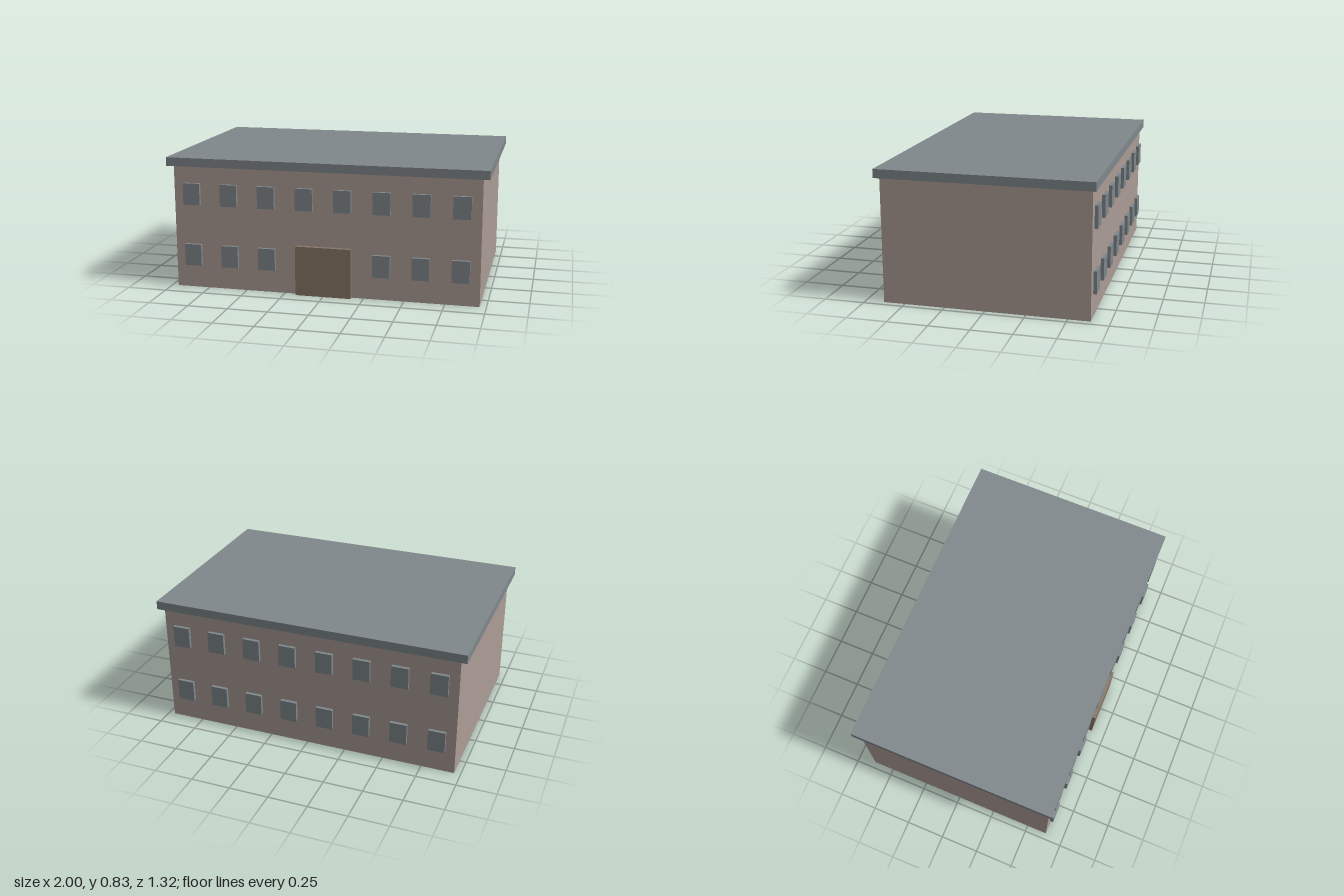
import * as THREE from 'three';

const wallMaterial = new THREE.MeshStandardMaterial({ name: 'taupe wall', color: 0xac9c95 });
const slateMaterial = new THREE.MeshStandardMaterial({ name: 'slate grey', color: 0x80888c });
const doorMaterial = new THREE.MeshStandardMaterial({ name: 'brown door', color: 0x887666 });

// Box given by its lower and upper limits on each axis
function box(name, material, [x0, x1], [y0, y1], [z0, z1]) {
  const mesh = new THREE.Mesh(new THREE.BoxGeometry(x1 - x0, y1 - y0, z1 - z0), material);
  mesh.position.set((x0 + x1) / 2, (y0 + y1) / 2, (z0 + z1) / 2);
  mesh.name = name;
  return mesh;
}

export function createModel() {
  const building = new THREE.Group();
  building.name = 'building';
  const front = 0.632, back = -0.636;

  // Main block, overhanging flat roof and entrance door
  building.add(box('walls', wallMaterial, [-0.96, 0.96], [0, 0.78], [back, front]));
  building.add(box('roof', slateMaterial, [-1, 1], [0.78, 0.834], [-0.66, 0.656]));
  building.add(box('door', doorMaterial, [-0.175, 0.175], [0, 0.312], [front, 0.66]));

  // Two rows of eight windows on the front and the back
  const columns = 8, spacing = 0.241, halfWidth = 0.054, depth = 0.021;
  const sides = [['frontWindow', front, front + depth], ['backWindow', back - depth, back]];
  for (const [name, z0, z1] of sides) {
    for (const sill of [0.145, 0.536]) {
      for (let i = 0; i < columns; i++) {
        const x = (i - (columns - 1) / 2) * spacing;
        building.add(box(name, slateMaterial, [x - halfWidth, x + halfWidth], [sill, sill + 0.138], [z0, z1]));
      }
    }
  }
  return building;
}
